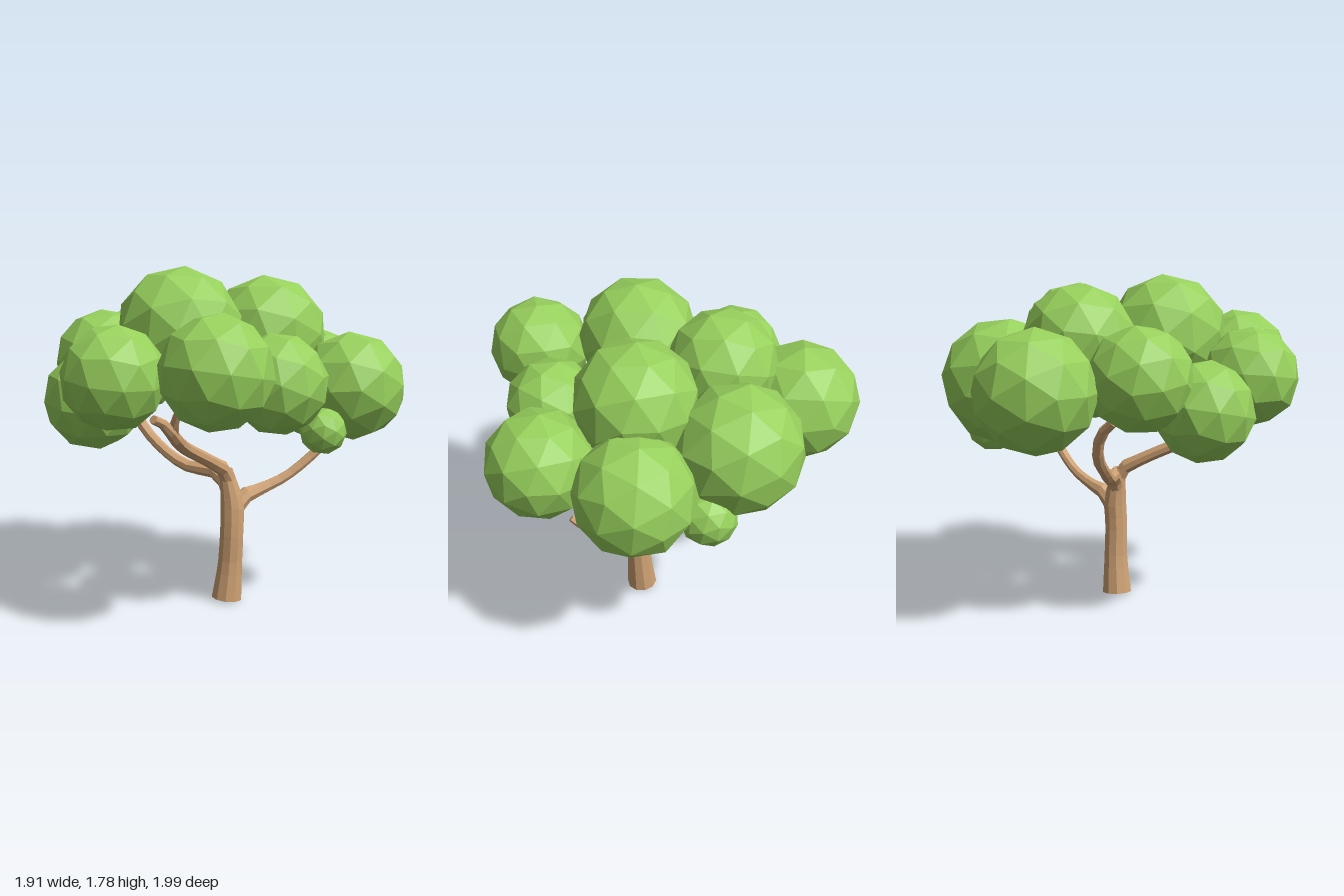
import * as THREE from 'three';

const bark = new THREE.MeshStandardMaterial({ color: 0xcfa274, flatShading: true });
const leaf = new THREE.MeshStandardMaterial({ color: 0x97d05c, flatShading: true });

// Tapered, end-capped limb; each point is [x, y, z, radius]
function limb(name, pts, sides = 8) {
  const curve = new THREE.CatmullRomCurve3(pts.map(p => new THREE.Vector3(p[0], p[1], p[2])), false, 'centripetal');
  const n = (pts.length - 1) * 2 + 2;
  const geo = new THREE.TubeGeometry(curve, n, 1, sides);
  const pos = geo.attributes.position;
  const v = new THREE.Vector3();
  for (let i = 0; i <= n; i++) {
    const u = THREE.MathUtils.clamp((i - 1) / (n - 2), 0, 1);
    const t = curve.getUtoTmapping(u) * (pts.length - 1);
    const k = Math.min(Math.floor(t), pts.length - 2);
    // The first and last rings collapse to a point, closing the ends
    const r = i === 0 || i === n ? 0 : THREE.MathUtils.lerp(pts[k][3], pts[k + 1][3], t - k);
    const from = curve.getPointAt(i / n), to = curve.getPointAt(u);
    for (let j = 0; j <= sides; j++) {
      const id = i * (sides + 1) + j;
      v.fromBufferAttribute(pos, id).sub(from).multiplyScalar(r).add(to);
      pos.setXYZ(id, v.x, v.y, v.z);
    }
  }
  geo.computeVertexNormals();
  const mesh = new THREE.Mesh(geo, bark);
  mesh.name = name;
  return mesh;
}

export function createModel() {
  const tree = new THREE.Group();
  tree.name = 'tree';

  // Trunk and branches
  const wood = new THREE.Group();
  wood.name = 'wood';
  wood.add(
    limb('trunk', [[0.03, 0.01, 0.145, 0.083], [0.045, 0.2, 0.155, 0.067], [0.05, 0.4, 0.165, 0.064],
      [0.055, 0.53, 0.16, 0.066], [0.035, 0.64, 0.155, 0.048], [0.02, 0.72, 0.15, 0.036]], 10),
    limb('rightBranch', [[0.05, 0.47, 0.16, 0.055], [0.12, 0.56, 0.165, 0.048], [0.24, 0.6, 0.18, 0.032],
      [0.38, 0.66, 0.21, 0.027], [0.54, 0.79, 0.26, 0.027], [0.62, 0.89, 0.3, 0.028], [0.68, 0.95, 0.33, 0.02]]),
    limb('rightTwig', [[0.58, 0.84, 0.28, 0.024], [0.62, 0.89, 0.36, 0.02], [0.62, 0.94, 0.42, 0.016]], 6),
    limb('leftBranch', [[0.04, 0.6, 0.155, 0.045], [0.01, 0.71, 0.16, 0.042], [-0.1, 0.78, 0.2, 0.034],
      [-0.33, 0.9, 0.31, 0.033], [-0.44, 0.98, 0.4, 0.034], [-0.5, 1.04, 0.43, 0.026], [-0.58, 1.08, 0.46, 0.022]]),
    limb('leftTwig', [[-0.42, 0.96, 0.38, 0.026], [-0.45, 1.04, 0.43, 0.024], [-0.45, 1.12, 0.48, 0.018]], 6),
    limb('backBranch', [[0.04, 0.6, 0.15, 0.045], [0.01, 0.69, 0.08, 0.04], [-0.08, 0.71, -0.08, 0.033],
      [-0.14, 0.77, -0.2, 0.03], [-0.2, 0.89, -0.35, 0.03], [-0.25, 1.01, -0.39, 0.03], [-0.33, 1.08, -0.4, 0.024]])
  );
  tree.add(wood);

  // Leaf clumps: [name, x, y, z, radius]
  const crown = new THREE.Group();
  crown.name = 'crown';
  [
    ['backClump', -0.08, 1.24, -0.69, 0.31],
    ['backRightClump', 0.38, 1.235, -0.38, 0.335],
    ['topBackClump', -0.03, 1.455, -0.28, 0.295],
    ['backLeftClump', -0.44, 1.29, -0.33, 0.268],
    ['lowLeftClump', -0.64, 1.12, -0.06, 0.258],
    ['rightClump', 0.65, 1.13, 0.1, 0.31],
    ['frontRightClump', 0.505, 1.18, 0.58, 0.278],
    ['frontClump', 0.04, 1.22, 0.59, 0.25],
    ['frontLeftClump', -0.4, 1.315, 0.73, 0.272],
    ['leftClump', -0.7, 1.265, 0.29, 0.258],
    ['topLeftClump', -0.27, 1.47, 0.17, 0.318],
    ['topRightClump', 0.29, 1.42, 0.13, 0.318],
    ['smallFrontClump', 0.25, 0.985, 0.68, 0.118],
    ['smallBackClump', 0.59, 0.97, -0.25, 0.148],
  ].forEach(([name, x, y, z, r], i) => {
    const clump = new THREE.Mesh(new THREE.IcosahedronGeometry(r, 1), leaf);
    clump.name = name;
    clump.position.set(x, y, z);
    clump.rotation.set(i * 1.3, i * 2.1, i * 0.7);
    crown.add(clump);
  });
  tree.add(crown);
  return tree;
}
